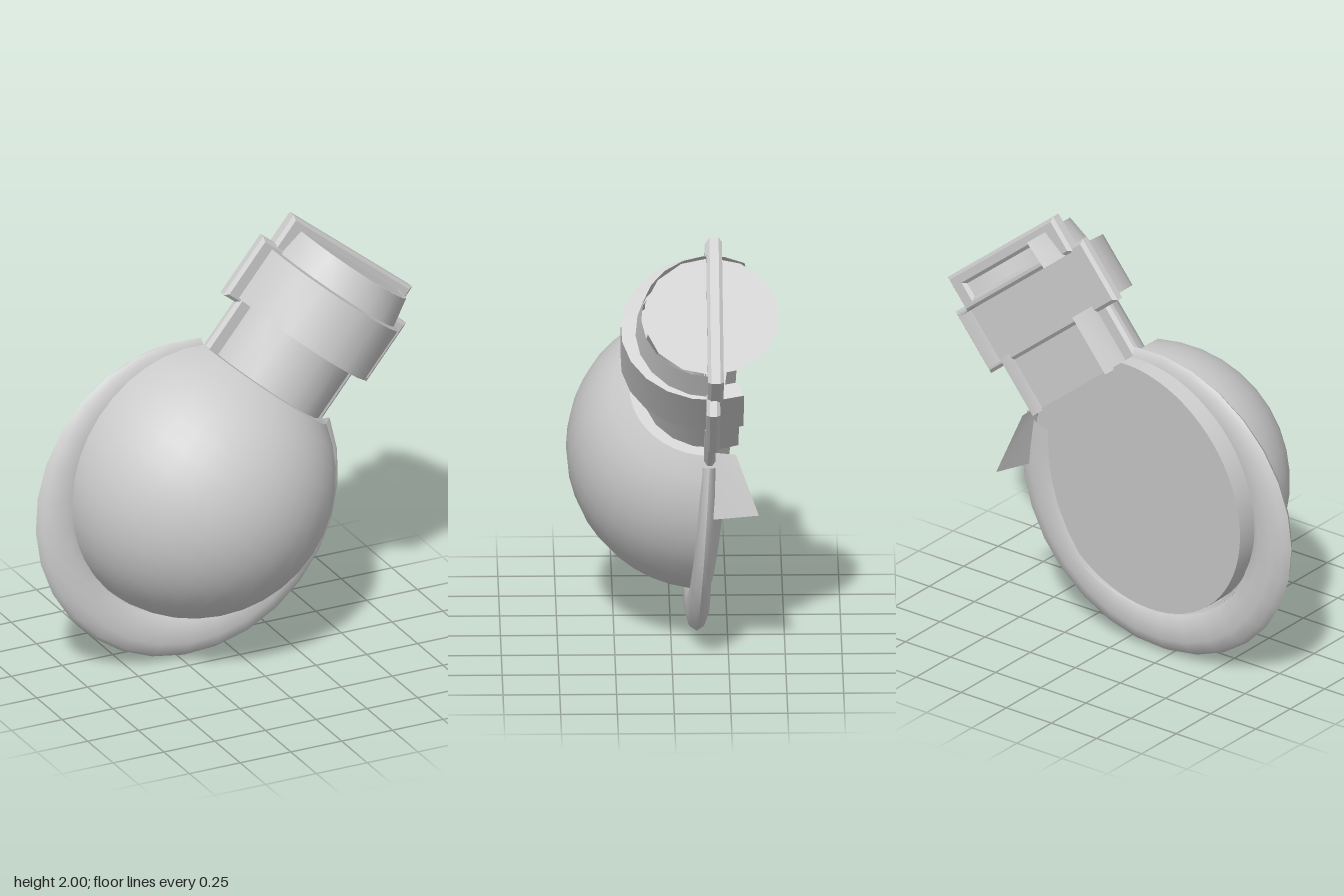
import * as THREE from 'three';
import { toCreasedNormals } from 'three/addons/utils/BufferGeometryUtils.js';

const V2 = (x, y) => new THREE.Vector2(x, y);
const TILT = THREE.MathUtils.degToRad(39);

export function createModel() {
  const model = new THREE.Group();
  model.name = 'tiltedHalfFlask';
  const mat = new THREE.MeshStandardMaterial({ color: 0xcccccc, side: THREE.DoubleSide });

  // Flask frame: y runs along the neck, z = 0 is the flat cut
  const flask = new THREE.Group();
  flask.name = 'flask';
  flask.position.set(-0.145, 0.835, -0.17);
  flask.rotation.z = -TILT;
  model.add(flask);

  function add(parent, name, geo, x = 0, y = 0, z = 0) {
    const mesh = new THREE.Mesh(geo, mat);
    mesh.name = name;
    mesh.position.set(x, y, z);
    parent.add(mesh);
    return mesh;
  }

  // Front half of a turned shape; the sides may wrap a little past the cut
  function halfTurn(name, points, segments, x, wrapLeft = 0, wrapRight = 0) {
    const geo = new THREE.LatheGeometry(points.map(p => V2(...p)), segments,
      -Math.PI / 2 - wrapRight, Math.PI + wrapLeft + wrapRight);
    return add(flask, name, toCreasedNormals(geo, 0.6), x);
  }

  // Bulb, cut off flat where the neck starts
  const R = 0.63, cut = Math.asin(0.52 / R);
  const bulb = [];
  for (let i = 0; i <= 16; i++) {
    const a = -Math.PI / 2 + (cut + Math.PI / 2) * i / 16;
    bulb.push([Math.max(0.0001, R * Math.cos(a)), R * Math.sin(a)]);
  }
  bulb.push([0.29, 0.52]);
  halfTurn('bulb', bulb, 20, 0);

  // Neck, collar and rim
  halfTurn('neck', [[0.3, 0.5], [0.3, 0.79]], 12, 0.015, 0.42, 0.5);
  const collar = halfTurn('collar',
    [[0.29, 0.78], [0.37, 0.78], [0.37, 1.04], [0.3, 1.045]], 12, 0.01, 0.36, 0);
  collar.scale.z = 1.08;
  halfTurn('rim', [[0.335, 1.04], [0.31, 1.175]], 12, 0.03, 0, 0.5);

  // Round lid, which sticks out behind the cut
  const lid = add(flask, 'lid', new THREE.CircleGeometry(0.3, 14), 0.03, 1.174, 0);
  lid.rotation.x = -Math.PI / 2;

  // Flat back of the bulb, leaning slightly
  const back = new THREE.Shape();
  back.absarc(0, 0, 0.61, Math.PI - 0.99, 2 * Math.PI + 0.99, false);
  back.closePath();
  const backGeo = new THREE.ExtrudeGeometry(back, { depth: 0.1, bevelEnabled: false, curveSegments: 28 });
  const backPlate = add(flask, 'bulbBack', toCreasedNormals(backGeo, 0.5), 0, 0, -0.065);
  backPlate.rotation.y = -0.119;

  // Bevelled flat flanges beside the neck, collar and rim
  function flange(name, x0, x1, y0, y1, thick, z, hole) {
    const b = 0.015;
    const rect = (a, c, d, e) => [V2(a, d), V2(c, d), V2(c, e), V2(a, e)];
    const s = new THREE.Shape(rect(x0 + b, x1 - b, y0 + b, y1 - b));
    if (hole) s.holes.push(new THREE.Path(rect(...hole).reverse()));
    const geo = new THREE.ExtrudeGeometry(s, {
      depth: thick - 2 * b, bevelThickness: b, bevelSize: b, bevelSegments: 1,
    });
    geo.translate(0, 0, b - thick / 2);
    add(flask, name, geo, 0, 0, z);
  }
  flange('neckFlange', -0.35, 0.39, 0.49, 0.79, 0.05, 0.005);
  flange('collarFlange', -0.425, 0.48, 0.755, 1.067, 0.06, -0.005);
  flange('rimFlange', -0.35, 0.4, 1.04, 1.217, 0.07, -0.015, [-0.28, 0.33, 1.07, 1.165]);

  // Wide rim around the bulb, thinner towards the neck and open there
  const start = THREE.MathUtils.degToRad(83), arc = THREE.MathUtils.degToRad(295);
  const ring = new THREE.TorusGeometry(0.635, 0.11, 10, 24, arc);
  ring.rotateZ(start);
  const p = ring.attributes.position;
  for (let i = 0; i < p.count; i++) {
    const x = p.getX(i), y = p.getY(i);
    const toNeck = (x * Math.sin(TILT) + y * Math.cos(TILT)) / 0.745;
    p.setZ(i, p.getZ(i) * (0.046 - 0.016 * toNeck) / 0.11 - 0.055 * y);
  }
  ring.computeVertexNormals();
  add(model, 'bulbFlange', ring, -0.185, 0.75, -0.15);

  // Thin flap behind the join of bulb and neck
  const flap = new THREE.BufferGeometry();
  flap.setAttribute('position', new THREE.Float32BufferAttribute([
    0.45, 1.03, -0.16, 0.46, 1.02, -0.28, 0.53, 0.76, -0.38, 0.5, 0.73, -0.17], 3));
  flap.setIndex([0, 1, 2, 0, 2, 3]);
  flap.computeVertexNormals();
  add(model, 'backFlap', flap);

  return model;
}
